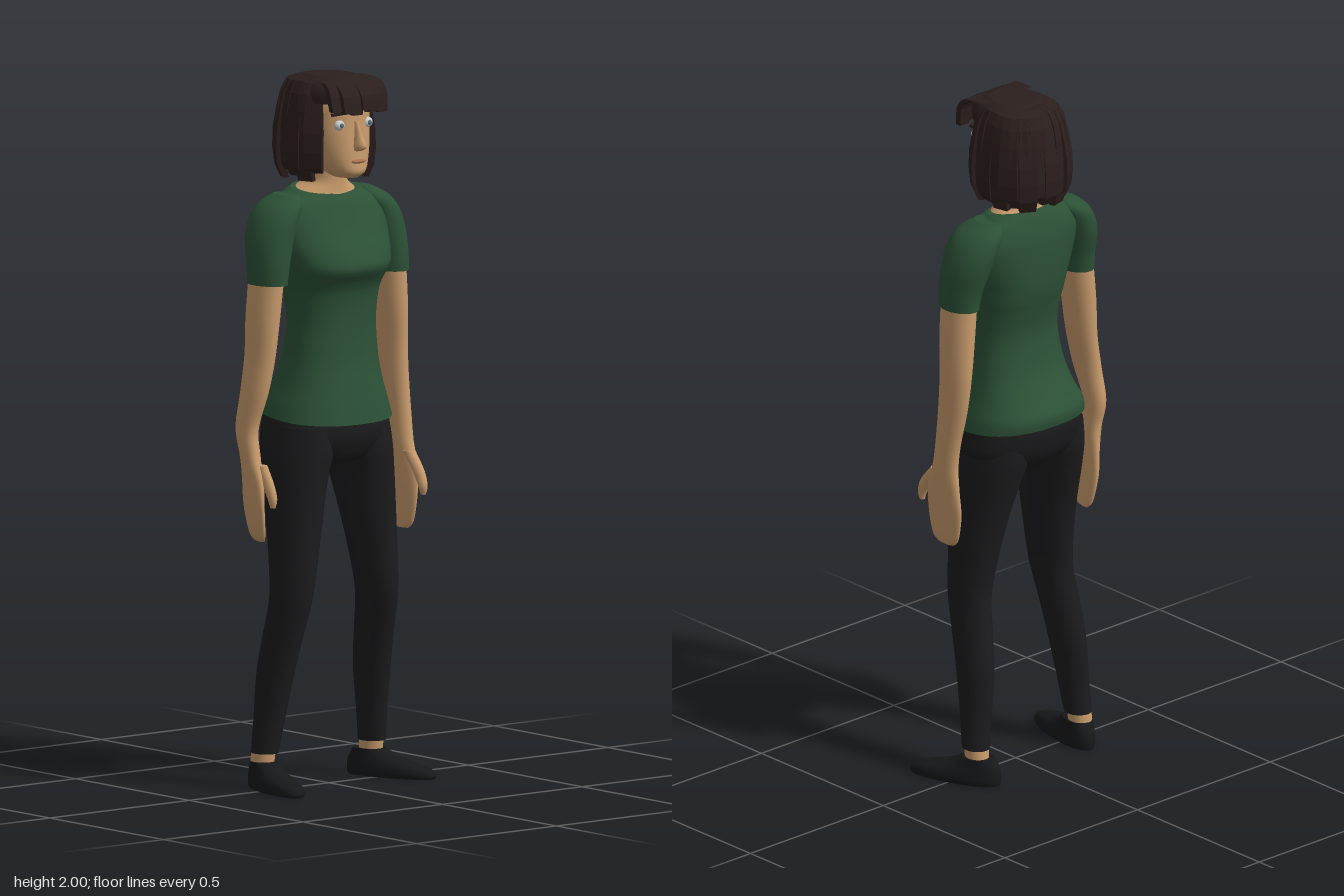
import * as THREE from 'three';

const SKIN = 0xc89b6c, SHIRT = 0x2c5136, PANTS = 0x1c1c1e, HAIR = 0x2b1f1d, SHOE = 0x17181a;
const mat = (color, flatShading = false) => new THREE.MeshStandardMaterial({ color, flatShading });

function mesh(name, geo, color, flat) {
  const m = new THREE.Mesh(geo, mat(color, flat));
  m.name = name;
  return m;
}

const spow = (v, e) => Math.sign(v) * Math.pow(Math.abs(v), e);

function catmull(a, b, c, d, t) {
  return b + 0.5 * t * (c - a + t * (2 * a - 5 * b + 4 * c - d + t * (3 * (b - c) + d - a)));
}

// Smooth skin through rings listed bottom to top: [x, y, z, rx, rz, yaw, tilt]
function loft(name, color, rings, { n = 24, steps = 4, e = 1 } = {}) {
  const rows = [], full = rings.map(r => [...r, 0, 0].slice(0, 7));
  const at = i => full[Math.max(0, Math.min(full.length - 1, i))];
  for (let i = 0; i < full.length - 1; i++)
    for (let k = 0; k < steps; k++)
      rows.push(at(i).map((_, q) => catmull(at(i - 1)[q], at(i)[q], at(i + 1)[q], at(i + 2)[q], k / steps)));
  rows.push(at(full.length - 1));
  const pos = [], idx = [];
  const ring = ([x, y, z, rx, rz, yaw, tilt]) => {
    for (let j = 0; j < n; j++) {
      const a = j / n * Math.PI * 2, u = rx * spow(Math.cos(a), e), w = rz * spow(Math.sin(a), e);
      const dz = w * Math.cos(yaw) - u * Math.sin(yaw);
      pos.push(x + u * Math.cos(yaw) + w * Math.sin(yaw), y + tilt * dz, z + dz);
    }
  };
  rows.forEach(ring);
  for (let i = 0; i < rows.length - 1; i++)
    for (let j = 0; j < n; j++) {
      const a = i * n + j, b = i * n + (j + 1) % n;
      idx.push(a, a + n, b, b, a + n, b + n);
    }
  // end caps keep their own corners so the rims stay crisp
  for (const [r, top] of [[rows[0], false], [rows[rows.length - 1], true]]) {
    const s = pos.length / 3;
    ring(r);
    pos.push(r[0], r[1], r[2]);
    for (let j = 0; j < n; j++) {
      const a = s + j, b = s + (j + 1) % n;
      top ? idx.push(s + n, b, a) : idx.push(s + n, a, b);
    }
  }
  const g = new THREE.BufferGeometry();
  g.setAttribute('position', new THREE.Float32BufferAttribute(pos, 3));
  g.setIndex(idx);
  g.computeVertexNormals();
  return mesh(name, g, color);
}

// Ring given by its front and back z
const fb = (y, rx, front, back, tilt = 0) => [0, y, (front + back) / 2, rx, (front - back) / 2, 0, tilt];

// Bent hair plate: path of [out, y], standing at (x, z) and facing the angle
function strand(name, path, width, place) {
  const curve = new THREE.CatmullRomCurve3(path.map(p => new THREE.Vector3(p[0], p[1], 0)));
  const g = new THREE.BoxGeometry(width, 1, 0.018, 1, 7, 1), p = g.attributes.position;
  for (let i = 0; i < p.count; i++) {
    const t = 0.5 - p.getY(i), c = curve.getPoint(t);
    const taper = 0.75 + 0.55 * Math.sin(Math.PI * Math.min(1, t * 0.8));
    const [x, y, z] = place(c.x, c.y, p.getX(i) * taper, p.getZ(i));
    p.setXYZ(i, x, y, z);
  }
  g.computeVertexNormals();
  return mesh(name, g, HAIR, true);
}

function makeHead() {
  const head = new THREE.Group();
  head.name = 'head';
  head.add(loft('face', SKIN, [
    fb(1.715, 0.03, 0.115, 0.03), fb(1.73, 0.05, 0.133, 0), fb(1.76, 0.07, 0.132, -0.04),
    fb(1.81, 0.088, 0.128, -0.09), fb(1.87, 0.096, 0.122, -0.11), fb(1.93, 0.092, 0.118, -0.11),
    fb(1.975, 0.065, 0.08, -0.08)], { e: 0.88 }));
  // nose, mouth, eyes, brows and ears
  head.add(loft('nose', SKIN, [[0, 1.792, 0.125, 0.012, 0.012], [0, 1.805, 0.132, 0.015, 0.03],
    [0, 1.835, 0.125, 0.01, 0.02], [0, 1.875, 0.116, 0.008, 0.012]], { n: 10 }));
  const mouth = mesh('mouth', new THREE.SphereGeometry(1, 12, 8), 0xa9744f);
  mouth.scale.set(0.026, 0.006, 0.008);
  mouth.position.set(0, 1.763, 0.132);
  head.add(mouth);
  for (const s of [-1, 1]) {
    const eye = mesh('eye', new THREE.SphereGeometry(0.017, 14, 10), 0xd8d8d8);
    eye.scale.set(1, 0.85, 0.7);
    eye.position.set(s * 0.05, 1.866, 0.108);
    const iris = mesh('iris', new THREE.SphereGeometry(0.007, 10, 8), 0x56707c);
    iris.scale.z = 0.5;
    iris.position.set(s * 0.05, 1.866, 0.119);
    const brow = mesh('eyebrow', new THREE.BoxGeometry(0.045, 0.008, 0.01), HAIR);
    brow.position.set(s * 0.053, 1.898, 0.11);
    brow.rotation.set(0, s * 0.35, -s * 0.1);
    const ear = mesh('ear', new THREE.SphereGeometry(0.025, 10, 8), SKIN);
    ear.scale.set(0.5, 1.2, 0.8);
    ear.position.set(s * 0.096, 1.845, 0);
    head.add(eye, iris, brow, ear);
  }
  return head;
}

function makeHair() {
  const hair = new THREE.Group();
  hair.name = 'hair';
  hair.add(loft('hairBase', HAIR, [fb(1.725, 0.09, 0.0, -0.115), fb(1.8, 0.105, 0.03, -0.127),
    fb(1.9, 0.107, 0.06, -0.122), fb(1.935, 0.104, 0.1, -0.115)], { e: 0.85 }));
  hair.add(loft('hairCrown', HAIR, [fb(1.925, 0.104, 0.115, -0.117), fb(1.955, 0.1, 0.122, -0.11),
    fb(1.98, 0.085, 0.112, -0.092), fb(1.995, 0.06, 0.075, -0.06)], { e: 0.75 }));
  // overlapping plates from one temple round the back to the other
  const count = 17, first = 0.98;
  for (let i = 0; i < count; i++) {
    const a = first + i / (count - 1) * (2 * Math.PI - 2 * first), end = 1.712 + 0.012 * ((i * 5) % 3 - 0.6);
    const k = i % 2 ? 1.0 : 1.045;
    const bx = 0.108 * spow(Math.sin(a), 0.75), bz = 0.112 * spow(Math.cos(a), 0.75);
    const path = [[0.55, 1.99], [0.86, 1.968], [1.0, 1.91], [1.06 * k, 1.83], [1.06 * k, 1.76], [0.95, end]];
    hair.add(strand('hairLock', path, 0.042, (r, y, u, v) => [
      bx * r + Math.cos(a) * u + Math.sin(a) * v, y, -0.02 + bz * r - Math.sin(a) * u + Math.cos(a) * v]));
  }
  // fringe
  for (let i = 0; i < 6; i++) {
    const x = -0.078 + i * 0.0312, bulge = 0.014 * (1 - (x / 0.08) ** 2) + (i % 2) * 0.006;
    const path = [[0.04, 1.99], [0.1, 1.982], [0.118 + bulge, 1.955], [0.127 + bulge, 1.908 - (i % 3) * 0.006]];
    hair.add(strand('fringe', path, 0.031, (z, y, u, v) => [x + u, y, z + v]));
  }
  return hair;
}

export function createModel() {
  const model = new THREE.Group();
  model.name = 'standingWoman';
  model.add(makeHead(), makeHair());

  // neck with the bare collar area
  model.add(loft('neck', SKIN, [fb(1.645, 0.125, 0.062, -0.09, -0.2), fb(1.672, 0.095, 0.052, -0.088, -0.15),
    fb(1.695, 0.06, 0.05, -0.085), fb(1.73, 0.054, 0.05, -0.08), fb(1.78, 0.054, 0.05, -0.08)]));

  // T-shirt body
  model.add(loft('shirtBody', SHIRT, [
    fb(1.04, 0.188, 0.142, -0.168, -0.1), fb(1.08, 0.178, 0.134, -0.17, -0.06), fb(1.13, 0.16, 0.122, -0.142),
    fb(1.2, 0.143, 0.11, -0.105), fb(1.3, 0.132, 0.107, -0.086), fb(1.38, 0.138, 0.115, -0.098),
    fb(1.42, 0.148, 0.13, -0.108), fb(1.46, 0.16, 0.155, -0.115), fb(1.5, 0.172, 0.142, -0.118),
    fb(1.56, 0.185, 0.108, -0.118), fb(1.61, 0.185, 0.084, -0.115), fb(1.65, 0.155, 0.068, -0.102, -0.08),
    fb(1.675, 0.105, 0.05, -0.088, -0.16)], { n: 32, e: 0.85 }));

  // trousers seat
  model.add(loft('trouserSeat', PANTS, [fb(0.905, 0.07, 0.06, -0.06), fb(0.925, 0.13, 0.1, -0.11),
    fb(0.97, 0.188, 0.125, -0.145), fb(1.02, 0.185, 0.134, -0.162, -0.08),
    fb(1.06, 0.176, 0.128, -0.16, -0.08)], { n: 32, e: 0.9 }));

  for (const s of [-1, 1]) {
    const side = s > 0 ? 'left' : 'right', d = s > 0 ? 0 : 0.01;
    const out = rings => rings.map(([x, y, z, rx, rz, yaw = 0]) => [s * (x + d), y, z, rx, rz, s * yaw]);

    // trouser leg, ankle, shoe
    model.add(loft(side + 'TrouserLeg', PANTS, out([
      [0.187, 0.1, -0.04, 0.037, 0.042], [0.178, 0.2, -0.03, 0.04, 0.05], [0.168, 0.32, -0.017, 0.045, 0.063],
      [0.16, 0.42, 0.003, 0.047, 0.068], [0.149, 0.53, 0.027, 0.05, 0.073], [0.139, 0.63, 0.026, 0.058, 0.08],
      [0.127, 0.75, 0.016, 0.068, 0.093], [0.114, 0.87, 0.002, 0.078, 0.112], [0.1, 0.95, -0.006, 0.087, 0.126],
      [0.096, 1.02, -0.01, 0.08, 0.125]])));
    model.add(loft(side + 'Ankle', SKIN, out([[0.19, 0.04, -0.052, 0.032, 0.036], [0.188, 0.13, -0.04, 0.032, 0.036]])));
    const shoe = loft(side + 'Shoe', SHOE, [[0, 0, 0.062, 0.044, 0.136], [0, 0.012, 0.062, 0.048, 0.138],
      [0, 0.03, 0.05, 0.046, 0.126], [0, 0.052, 0.01, 0.04, 0.08], [0, 0.076, -0.008, 0.037, 0.047]], { e: 0.9 });
    shoe.position.set(s * (0.192 + d), 0, s > 0 ? -0.045 : -0.028);
    shoe.rotation.y = s > 0 ? 0.38 : -0.2;
    model.add(shoe);

    // sleeve
    model.add(loft(side + 'Sleeve', SHIRT, out([
      [0.212, 1.425, 0.003, 0.048, 0.067], [0.207, 1.48, 0, 0.053, 0.071], [0.195, 1.545, -0.01, 0.06, 0.079],
      [0.176, 1.6, -0.015, 0.06, 0.082], [0.15, 1.64, -0.018, 0.055, 0.074], [0.125, 1.667, -0.022, 0.03, 0.045]])));

    // bare arm running into a flat mitten hand, hanging further back on the right
    const back = s > 0 ? 0 : 1, hz = 0.04 - 0.052 * back, wx = 0.018 * back, yaw = 0.3 * back;
    model.add(loft(side + 'Arm', SKIN, out([
      [0.226 + wx * 0.2, 0.703, hz, 0.008, 0.032, yaw], [0.228 + wx * 0.5, 0.725, hz, 0.013, 0.052, yaw],
      [0.23 + wx, 0.8, hz, 0.018, 0.065, yaw], [0.234 + wx, 0.875, hz, 0.022, 0.06, yaw],
      [0.236 + wx, 0.945, hz - 0.01, 0.026, 0.044, yaw], [0.237 + wx, 1.02, hz - 0.022, 0.028, 0.043, yaw / 2],
      [0.235 + wx * 0.6, 1.12, hz * 0.3 - 0.01, 0.031, 0.05], [0.232, 1.22, -0.006, 0.034, 0.055],
      [0.224, 1.33, -0.003, 0.04, 0.059], [0.212, 1.46, 0, 0.042, 0.06]])));
    model.add(loft(side + 'Thumb', SKIN, out([
      [0.226 + wx, 0.805, hz + 0.098 - 0.02 * back, 0.007, 0.008], [0.226 + wx, 0.83, hz + 0.096 - 0.02 * back, 0.013, 0.015],
      [0.228 + wx, 0.87, hz + 0.074 - 0.015 * back, 0.015, 0.021], [0.23 + wx, 0.92, hz + 0.028, 0.016, 0.025]]), { n: 12 }));
  }
  return model;
}
